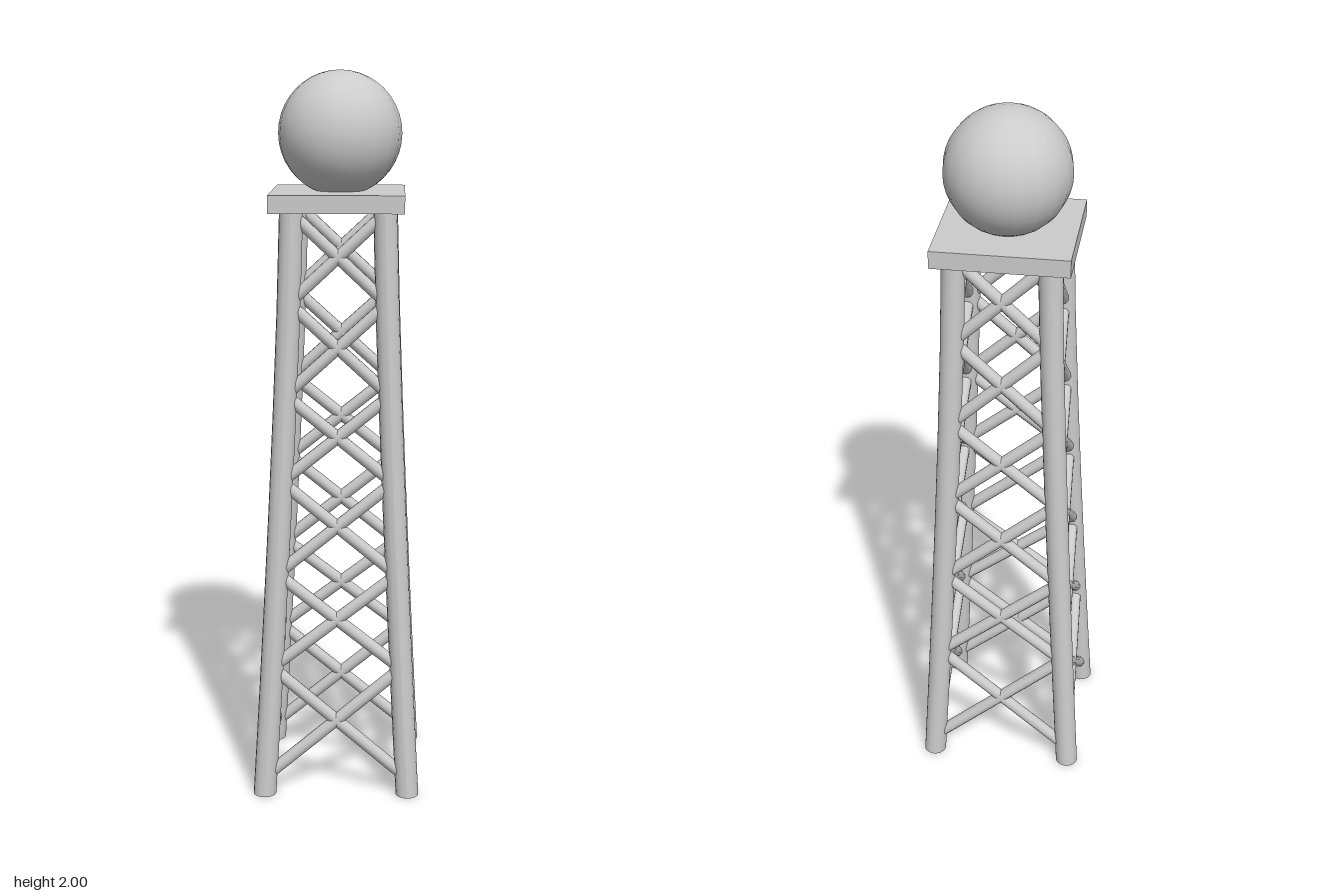
import * as THREE from 'three';

const material = new THREE.MeshStandardMaterial({ color: 0xcccccc });
const LEG_TOP = 1.635;
const LEG_RADIUS = 0.032;
const BRACE_RADIUS = 0.017;

// Feet and heads of the four legs as [x, z], in order around the tower
const feet = [[0.2, 0.191], [0.2, -0.202], [-0.202, -0.195], [-0.202, 0.198]];
const heads = [[0.128, 0.13], [0.128, -0.122], [-0.122, -0.122], [-0.122, 0.13]];

// Centre of a leg at height y; the legs flare gently towards the ground
function legPoint(i, y) {
  const flare = Math.pow(Math.max(0, 1 - y / LEG_TOP), 1.25);
  const at = (k) => heads[i][k] + (feet[i][k] - heads[i][k]) * flare;
  return new THREE.Vector3(at(0), y, at(1));
}

function add(parent, name, geometry) {
  const mesh = new THREE.Mesh(geometry, material);
  mesh.name = name;
  parent.add(mesh);
  return mesh;
}

// Upright cylinder whose rings are shifted onto the leg's curve
function legGeometry(i) {
  const geometry = new THREE.CylinderGeometry(LEG_RADIUS, LEG_RADIUS, LEG_TOP, 16, 6);
  geometry.translate(0, LEG_TOP / 2, 0);
  const pos = geometry.attributes.position;
  for (let v = 0; v < pos.count; v++) {
    const c = legPoint(i, pos.getY(v));
    pos.setX(v, pos.getX(v) + c.x);
    pos.setZ(v, pos.getZ(v) + c.z);
  }
  geometry.computeVertexNormals();
  return geometry;
}

// Round bar between two points
function addBar(parent, name, a, b) {
  const dir = b.clone().sub(a);
  const bar = add(parent, name, new THREE.CylinderGeometry(BRACE_RADIUS, BRACE_RADIUS, dir.length(), 10));
  bar.position.copy(a).add(b).multiplyScalar(0.5);
  bar.quaternion.setFromUnitVectors(new THREE.Vector3(0, 1, 0), dir.normalize());
}

export function createModel() {
  const tower = new THREE.Group();
  tower.name = 'latticeTower';

  // Four legs
  const legs = new THREE.Group();
  legs.name = 'legs';
  tower.add(legs);
  for (let i = 0; i < 4; i++) add(legs, 'leg', legGeometry(i));

  // Crossed braces, six bays on each side
  const levels = [0.05, 0.37, 0.64, 0.9, 1.14, 1.39, 1.63];
  const braces = new THREE.Group();
  braces.name = 'crossBraces';
  tower.add(braces);
  for (let i = 0; i < 4; i++) {
    const j = (i + 1) % 4;
    for (let n = 0; n < levels.length - 1; n++) {
      addBar(braces, 'brace', legPoint(i, levels[n]), legPoint(j, levels[n + 1]));
      addBar(braces, 'brace', legPoint(j, levels[n]), legPoint(i, levels[n + 1]));
    }
  }

  // Platform and the ball resting on it
  add(tower, 'platform', new THREE.BoxGeometry(0.362, 0.048, 0.362)).position.set(-0.001, 1.656, -0.01);
  add(tower, 'ball', new THREE.SphereGeometry(0.168, 20, 20)).position.set(0.003, 1.832, -0.01);

  return tower;
}
